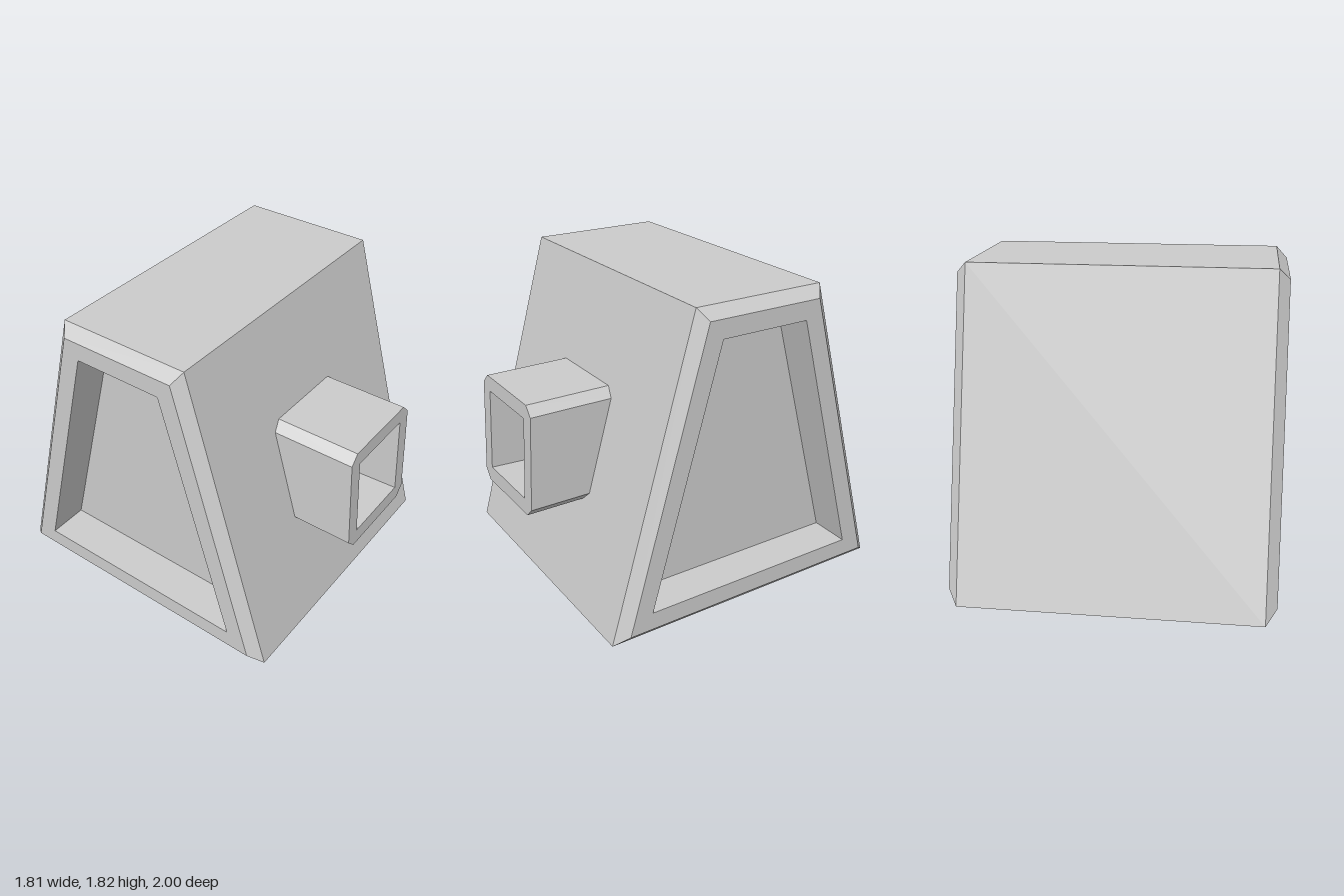
import * as THREE from 'three';

const material = new THREE.MeshStandardMaterial({ color: 0xcccccc, flatShading: true });

// Skins a series of equal-count rings and caps both ends; rings run counter-clockwise about the travel direction.
function loft(name, rings) {
  const pos = [];
  const tri = (a, b, c) => {
    const area = b.clone().sub(a).cross(c.clone().sub(a)).length();
    if (area > 1e-7) for (const p of [a, b, c]) pos.push(p.x, p.y, p.z);
  };
  const n = rings[0].length;
  for (let r = 0; r < rings.length - 1; r++) {
    for (let i = 0; i < n; i++) {
      const j = (i + 1) % n, a = rings[r], b = rings[r + 1];
      tri(a[i], a[j], b[j]);
      tri(a[i], b[j], b[i]);
    }
  }
  const first = rings[0], last = rings[rings.length - 1];
  for (let i = 1; i < n - 1; i++) {
    tri(first[0], first[i + 1], first[i]);
    tri(last[0], last[i], last[i + 1]);
  }
  const geometry = new THREE.BufferGeometry();
  geometry.setAttribute('position', new THREE.Float32BufferAttribute(pos, 3));
  geometry.computeVertexNormals();
  const mesh = new THREE.Mesh(geometry, material);
  mesh.name = name;
  return mesh;
}

// Trapezoid section of the body at a given x
function trapezoid(x, [y0, back0, front0], [y1, back1, front1]) {
  return [[y0, back0], [y1, back1], [y1, front1], [y0, front0]]
    .map(([y, z]) => new THREE.Vector3(x, y, z));
}

// Rectangle with cut corners, placed on the plane z = zAt(y)
function cutRect(halfW, y0, y1, cut, zAt) {
  const w = halfW, c = cut;
  return [
    [w - c, y0], [w, y0 + c], [w, y1 - c], [w - c, y1],
    [c - w, y1], [-w, y1 - c], [-w, y0 + c], [c - w, y0],
  ].map(([x, y]) => new THREE.Vector3(x, y, zAt(y)));
}

export function createModel() {
  const group = new THREE.Group();
  group.name = 'wedgeBlock';

  // Body: tapered block with bevelled sides and a deep recess in each side
  const outer = [[0, -1, 0.815], [1.82, -0.49, 0.305]];
  const rim = [[0.065, -0.917, 0.735], [1.757, -0.443, 0.262]];
  const recess = [[0.17, -0.772, 0.595], [1.65, -0.36, 0.178]];
  const side = [[0.67, recess], [0.907, recess], [0.907, rim], [0.845, outer]];
  const sections = [
    ...side.map(([x, s]) => trapezoid(-x, ...s)),
    ...side.slice().reverse().map(([x, s]) => trapezoid(x, ...s)),
  ];
  group.add(loft('body', sections));

  // Front socket: chamfered box with a leaning face and a square pocket
  const face = y => 1 - 0.046 * (y - 0.58);
  const bodyFront = y => 0.795 - 0.28 * y;
  const depth = 0.28, drop = 0.013;
  const pocket = cutRect(0.22, 0.67, 1.15, 0, face);
  const pocketFloor = pocket.map(p => p.clone().add(new THREE.Vector3(0, -drop, -depth)));
  group.add(loft('frontSocket', [
    cutRect(0.305, 0.58, 1.237, 0.054, bodyFront),
    cutRect(0.305, 0.58, 1.237, 0.054, face),
    pocket,
    pocketFloor,
  ]));

  return group;
}
